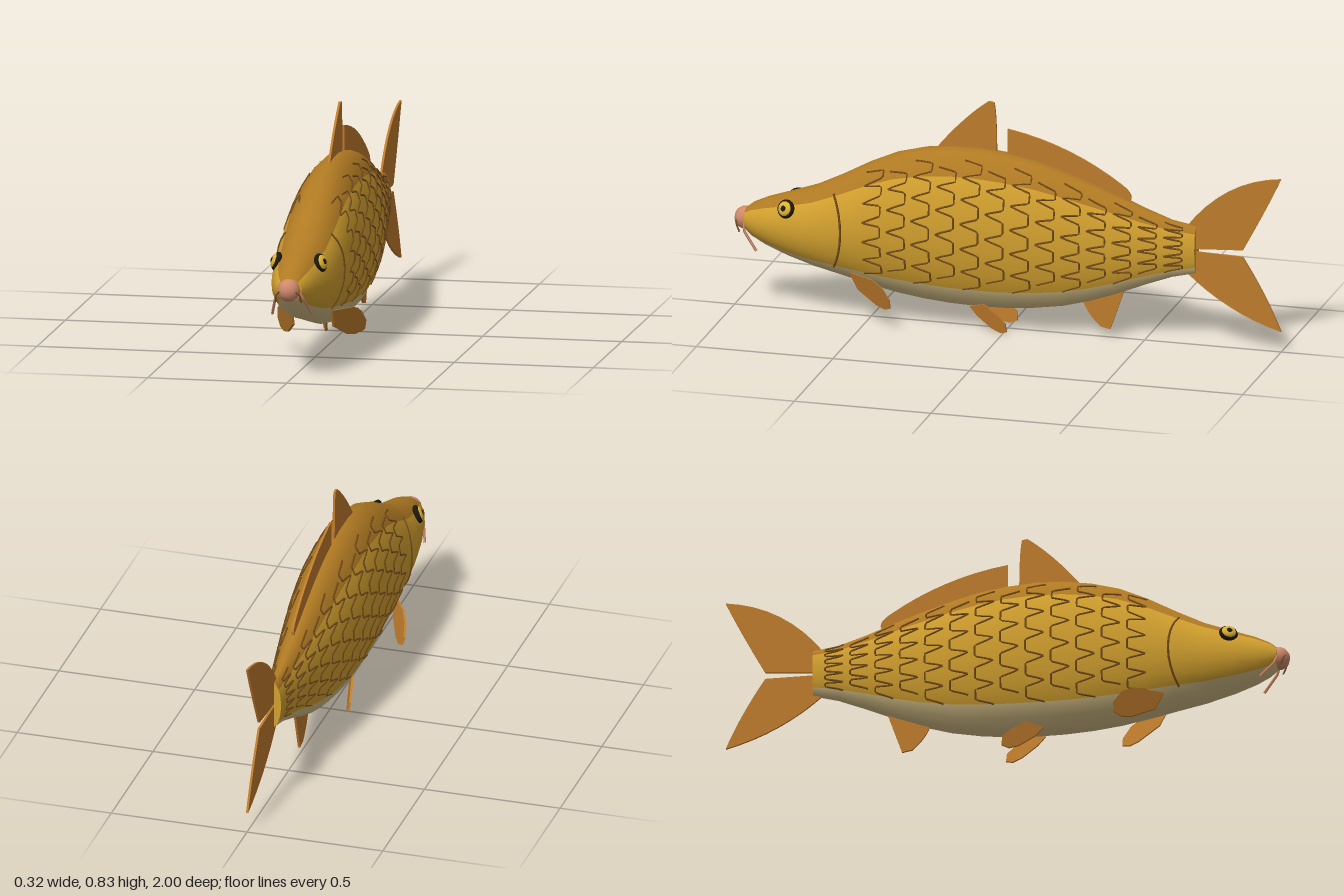
import * as THREE from 'three';
import { mergeGeometries } from 'three/addons/utils/BufferGeometryUtils.js';

const SIDES = 24;
// body sections from snout to tail: z, top y, bottom y, half width
const SECTIONS = [
  [0.955, 0.365, 0.285, 0.045], [0.93, 0.385, 0.262, 0.06], [0.88, 0.408, 0.235, 0.078],
  [0.8, 0.435, 0.203, 0.096], [0.7, 0.47, 0.172, 0.111], [0.6, 0.52, 0.148, 0.12],
  [0.5, 0.575, 0.122, 0.125], [0.4, 0.62, 0.1, 0.128], [0.3, 0.646, 0.085, 0.13],
  [0.2, 0.659, 0.076, 0.13], [0.1, 0.66, 0.073, 0.129], [0, 0.65, 0.075, 0.126],
  [-0.1, 0.632, 0.084, 0.117], [-0.2, 0.603, 0.1, 0.106], [-0.3, 0.568, 0.127, 0.092],
  [-0.4, 0.53, 0.163, 0.076], [-0.5, 0.49, 0.205, 0.059], [-0.6, 0.455, 0.243, 0.042],
  [-0.69, 0.44, 0.265, 0.03],
];

const mat = (color, extra = {}) =>
  new THREE.MeshStandardMaterial({ color, ...extra });
const GOLD = mat(0xd2a02e, { side: THREE.DoubleSide });
const BACK = mat(0xb07a22);
const BELLY = mat(0xd3bd85);
const FIN = mat(0xbe7b2c);
const LINE = mat(0x7a4f1c);
const LIP = mat(0xcf8a6c);
const DARK = mat(0x1c1710);
const IRIS = mat(0xe0b52c);

function add(parent, name, geometry, material) {
  const mesh = new THREE.Mesh(geometry, material);
  mesh.name = name;
  parent.add(mesh);
  return mesh;
}

// point on the body at length z and angle (degrees up from the flank)
function onBody(z, deg, side = 1, lift = 0) {
  let i = 0;
  while (i < SECTIONS.length - 2 && z < SECTIONS[i + 1][0]) i++;
  const a = SECTIONS[i], b = SECTIONS[i + 1];
  const t = (a[0] - z) / (a[0] - b[0]);
  const [top, bottom, w] = [1, 2, 3].map((k) => a[k] + (b[k] - a[k]) * t);
  const r = THREE.MathUtils.degToRad(deg);
  return new THREE.Vector3(
    side * Math.cos(r) * (w + lift), (top + bottom) / 2 + Math.sin(r) * ((top - bottom) / 2 + lift), z);
}

// straight-sided tube through points
function line(points, radius, segments = 9) {
  return new THREE.TubeGeometry(
    new THREE.CatmullRomCurve3(points, false, 'catmullrom', 0), segments, radius, 4);
}

function buildBody(group) {
  const positions = [];
  for (const s of SECTIONS)
    for (let j = 0; j < SIDES; j++) positions.push(...onBody(s[0], (j * 360) / SIDES));
  const strips = { back: [], flanks: [], belly: [] };
  for (let i = 0; i < SECTIONS.length - 1; i++)
    for (let j = 0; j < SIDES; j++) {
      const k = (j + 1) % SIDES;
      const a = i * SIDES + j, b = i * SIDES + k, c = a + SIDES, d = b + SIDES;
      const deg = ((j + 0.5) * 360) / SIDES;
      const strip = deg > 45 && deg < 135 ? 'back' : deg > 225 && deg < 315 ? 'belly' : 'flanks';
      strips[strip].push(a, c, b, b, c, d);
    }
  // one smooth skin, divided into three colours
  const skin = new THREE.BufferGeometry();
  skin.setAttribute('position', new THREE.Float32BufferAttribute(positions, 3));
  skin.setIndex([...strips.back, ...strips.flanks, ...strips.belly]);
  skin.computeVertexNormals();
  for (const [name, material] of [['back', BACK], ['flanks', GOLD], ['belly', BELLY]]) {
    const g = skin.clone();
    g.setIndex(strips[name]);
    add(group, name, g, material);
  }
  // flat ends at the tail root and snout
  for (const [name, s] of [['tailRootCap', SECTIONS.at(-1)], ['snoutCap', SECTIONS[0]]]) {
    const cap = add(group, name, new THREE.CircleGeometry(1, SIDES), GOLD);
    cap.scale.set(s[3], (s[1] - s[2]) / 2, 1);
    cap.position.set(0, (s[1] + s[2]) / 2, s[0]);
    if (s[0] < 0) cap.rotation.y = Math.PI;
  }
}

function buildScales(group) {
  const parts = [];
  for (const side of [1, -1]) {
    for (let col = 0; col < 13; col++) {
      const z = 0.5 - col * 0.09;
      for (let row = 0; row < 6; row++) {
        const mid = -36 + row * 18 + (col % 2) * 9;
        if (mid > 58) continue;
        const path = [[0, 9], [-0.018, 7.5], [-0.065, 4.5], [-0.065, -4.5], [-0.018, -7.5], [0, -9]];
        parts.push(line(path.map(([dz, da]) => onBody(z + dz, mid + da, side, 0.001)), 0.0035, 15));
      }
    }
  }
  add(group, 'scales', mergeGeometries(parts), LINE);
}

// thin fin outlined in (z, y); four numbers make a curve; lean gives x from z and y
function fin(group, name, outline, lean = () => 0, thickness = 0.008) {
  const shape = new THREE.Shape();
  outline.forEach((p, i) => {
    if (i === 0) shape.moveTo(...p);
    else if (p.length === 4) shape.quadraticCurveTo(...p);
    else shape.lineTo(...p);
  });
  const g = new THREE.ExtrudeGeometry(shape, { depth: thickness, bevelEnabled: false, curveSegments: 8 });
  g.translate(0, 0, -thickness / 2).rotateY(-Math.PI / 2);
  const p = g.attributes.position;
  for (let i = 0; i < p.count; i++) p.setX(i, p.getX(i) + lean(p.getZ(i), p.getY(i)));
  g.computeVertexNormals();
  add(group, name, g, FIN);
}

function buildFins(group) {
  fin(group, 'frontDorsalFin',
    [[0.27, 0.63], [0.25, 0.66], [0.16, 0.77, 0.07, 0.835], [0.05, 0.832], [0.04, 0.79, 0.04, 0.63]]);
  fin(group, 'rearDorsalFin',
    [[0, 0.63], [0, 0.738], [-0.23, 0.7, -0.42, 0.565], [-0.47, 0.53, -0.44, 0.5], [-0.2, 0.58]]);
  fin(group, 'upperTailFin',
    [[-0.65, 0.43], [-0.79, 0.62, -1, 0.64], [-0.95, 0.53, -0.86, 0.365], [-0.69, 0.355]]);
  fin(group, 'lowerTailFin',
    [[-0.69, 0.345], [-0.86, 0.34], [-0.95, 0.2, -1, 0.075], [-0.8, 0.13, -0.65, 0.27]]);
  fin(group, 'analFin',
    [[-0.27, 0.14], [-0.29, 0.08, -0.34, 0.037], [-0.375, 0.03], [-0.4, 0.1, -0.43, 0.19], [-0.35, 0.17]]);
  for (const [s, side] of [[1, 'left'], [-1, 'right']]) {
    fin(group, side + 'PectoralFin',
      [[0.56, 0.18], [0.46, 0.178], [0.42, 0.157], [0.39, 0.115], [0.39, 0.083],
        [0.415, 0.072], [0.45, 0.078], [0.53, 0.12]],
      (z, y) => s * (0.155 - 0.6 * (z - 0.395) + 0.3 * (y - 0.13)));
    fin(group, side + 'PelvicFin',
      [[0.13, 0.083], [0.07, 0.1], [0.02, 0.068], [-0.012, 0.04], [-0.015, 0.008],
        [0.01, 0], [0.045, 0.012], [0.1, 0.05]],
      (z, y) => s * (0.075 - 0.33 * (z + 0.015) + 0.2 * (y - 0.03)));
  }
}

function buildHead(group) {
  // rounded lips with a mouth crease
  const lips = add(group, 'lips', new THREE.SphereGeometry(0.041, 12, 8), LIP);
  lips.position.set(0, 0.326, 0.962);
  lips.scale.set(1, 1, 0.93);
  const crease = add(group, 'mouthCrease', new THREE.TorusGeometry(0.037, 0.004, 4, 16, Math.PI), LINE);
  crease.rotation.x = Math.PI / 2;
  crease.position.set(0, 0.326, 0.955);
  crease.scale.y = 0.5;

  for (const [s, side] of [[1, 'left'], [-1, 'right']]) {
    // eye: dark rim, golden iris and pupil, stacked outwards
    const eye = new THREE.Group();
    eye.name = side + 'Eye';
    eye.position.set(s * 0.079, 0.396, 0.79);
    eye.lookAt(s * (0.079 + 0.85), 0.396 + 0.32, 0.79 + 0.3);
    for (const [name, r, depth, out, m] of [
      ['rim', 0.034, 0.016, 0, DARK], ['iris', 0.027, 0.013, 0.007, IRIS], ['pupil', 0.013, 0.008, 0.014, DARK]]) {
      const part = add(eye, name, new THREE.SphereGeometry(r, 16, 10), m);
      part.scale.z = depth / r;
      part.position.z = out;
    }
    group.add(eye);

    // gill cover edge
    const gill = [];
    for (let i = 0; i <= 8; i++) {
      const bulge = Math.sin((i / 8) * Math.PI);
      gill.push(onBody(0.615 - 0.035 * bulge, 48 - i * 12, s, 0.001));
    }
    add(group, side + 'GillCover', line(gill, 0.004, 16), LINE);

    // long and short barbels
    const barbels = [
      [[0.033, 0.33, 0.96], [0.052, 0.29, 0.95], [0.072, 0.228, 0.9]],
      [[0.028, 0.325, 0.985], [0.042, 0.312, 0.982], [0.046, 0.285, 0.97]]];
    barbels.forEach((pts, i) => add(group, side + (i ? 'ShortBarbel' : 'LongBarbel'),
      line(pts.map(([x, y, z]) => new THREE.Vector3(s * x, y, z)), i ? 0.003 : 0.005, 8), i ? LINE : LIP));
  }
}

export function createModel() {
  const fish = new THREE.Group();
  fish.name = 'fish';
  buildBody(fish);
  buildScales(fish);
  buildFins(fish);
  buildHead(fish);
  return fish;
}
